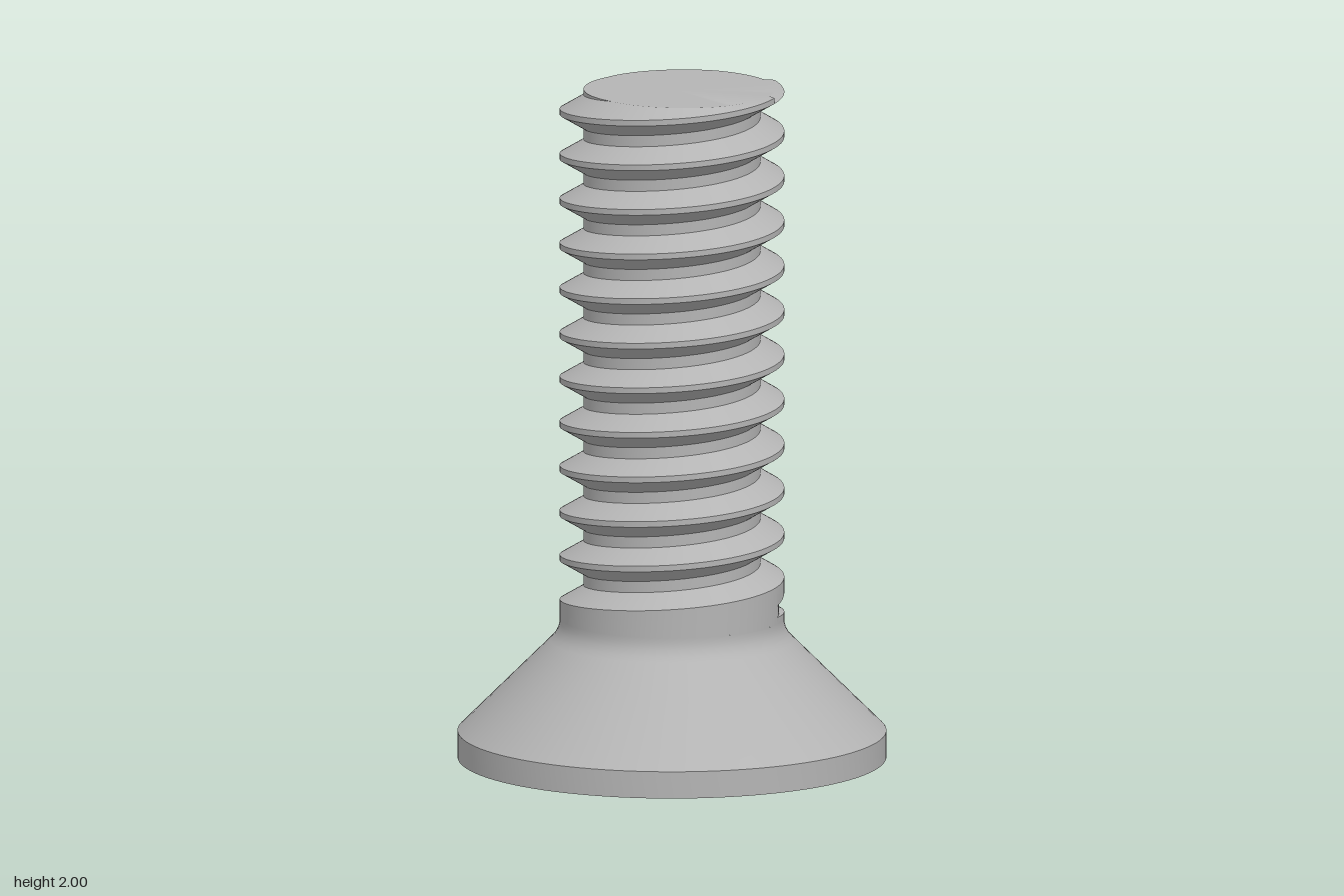
import * as THREE from 'three';
import { toCreasedNormals } from 'three/addons/utils/BufferGeometryUtils.js';

const TAU = Math.PI * 2;
const R = 0.33, ROOT = 0.26, PITCH = 0.1335, TOP = 2;
const HEAD_R = 0.63, SOCKET_R = 0.24, SOCKET_DEPTH = 0.245;
const START = -0.5; // angle where the thread groove begins

// Height and radius breakpoints of the threaded shank at one angle
function column(a) {
  const pts = [[0.42, R]];
  for (let k = 0; k < 14; k++) {
    const ramp = Math.min(1, (a - START + k * TAU) / 1.2); // groove run-in
    const y = 0.467 + PITCH * (k + a / TAU);
    const flat = PITCH / 8, edge = flat + 0.0415 * ramp;
    const r = R - (R - ROOT) * ramp;
    pts.push([y - edge, R], [y - flat, r], [y + flat, r], [y + edge, R]);
  }
  // Cut flat at the tip, slightly blunting the last crest
  const cut = pts.findIndex(p => p[0] >= TOP);
  const [y0, r0] = pts[cut - 1], [y1, r1] = pts[cut];
  const rTop = Math.min(0.305, r0 + (r1 - r0) * (TOP - y0) / (y1 - y0));
  return pts.map((p, i) => (i < cut ? p : [TOP, rTop]));
}

function threadGeometry(segments) {
  const cols = [];
  for (let i = 0; i <= segments; i++) {
    const a = START + (i / segments) * TAU;
    cols.push(column(a).map(([y, r]) => new THREE.Vector3(r * Math.cos(a), y, -r * Math.sin(a))));
  }
  const pos = [];
  const tri = (a, b, c) => {
    const n = b.clone().sub(a).cross(c.clone().sub(a));
    if (n.length() > 1e-9) for (const v of [a, b, c]) pos.push(v.x, v.y, v.z);
  };
  const centre = new THREE.Vector3(0, TOP, 0);
  for (let i = 0; i < segments; i++) {
    const p = cols[i], q = cols[i + 1];
    for (let j = 0; j < p.length - 1; j++) {
      tri(p[j], q[j], q[j + 1]);
      tri(p[j], q[j + 1], p[j + 1]);
    }
    tri(centre, p[p.length - 1], q[q.length - 1]); // flat tip
  }
  const g = new THREE.BufferGeometry();
  g.setAttribute('position', new THREE.Float32BufferAttribute(pos, 3));
  return toCreasedNormals(g, 0.5);
}

export function createModel() {
  const group = new THREE.Group();
  const steel = new THREE.MeshStandardMaterial({ color: 0xb4b4b4 });
  steel.name = 'steel grey';
  const add = (name, geometry) => {
    const mesh = new THREE.Mesh(geometry, steel);
    mesh.name = name;
    group.add(mesh);
  };

  // Countersunk head: rim, cone and fillet into the shank
  const profile = [
    [HEAD_R, 0], [HEAD_R, 0.08], [0.358, 0.352], [0.345, 0.367], [0.335, 0.385], [R, 0.405], [R, 0.42],
  ].map(([x, y]) => new THREE.Vector2(x, y));
  add('head', toCreasedNormals(new THREE.LatheGeometry(profile, 96), 0.5));

  // Flat head face with a hexagonal opening
  const face = new THREE.Shape().absarc(0, 0, HEAD_R, 0, TAU, false);
  const hex = [];
  for (let i = 0; i < 6; i++) {
    const a = Math.PI / 6 + i * Math.PI / 3;
    hex.push(new THREE.Vector2(SOCKET_R * Math.cos(a), SOCKET_R * Math.sin(a)));
  }
  face.holes.push(new THREE.Path(hex));
  add('headFace', new THREE.ShapeGeometry(face, 96).rotateX(Math.PI / 2));

  // Socket walls face inward, floor faces down
  const walls = new THREE.CylinderGeometry(SOCKET_R, SOCKET_R, SOCKET_DEPTH, 6, 1, true);
  walls.scale(-1, 1, 1).translate(0, SOCKET_DEPTH / 2, 0);
  add('socketWalls', toCreasedNormals(walls, 0.5));
  add('socketFloor', new THREE.CircleGeometry(SOCKET_R, 6, Math.PI / 6)
    .rotateX(Math.PI / 2).translate(0, SOCKET_DEPTH, 0));

  // Threaded shank with flat tip
  add('threadedShank', threadGeometry(96));
  return group;
}
